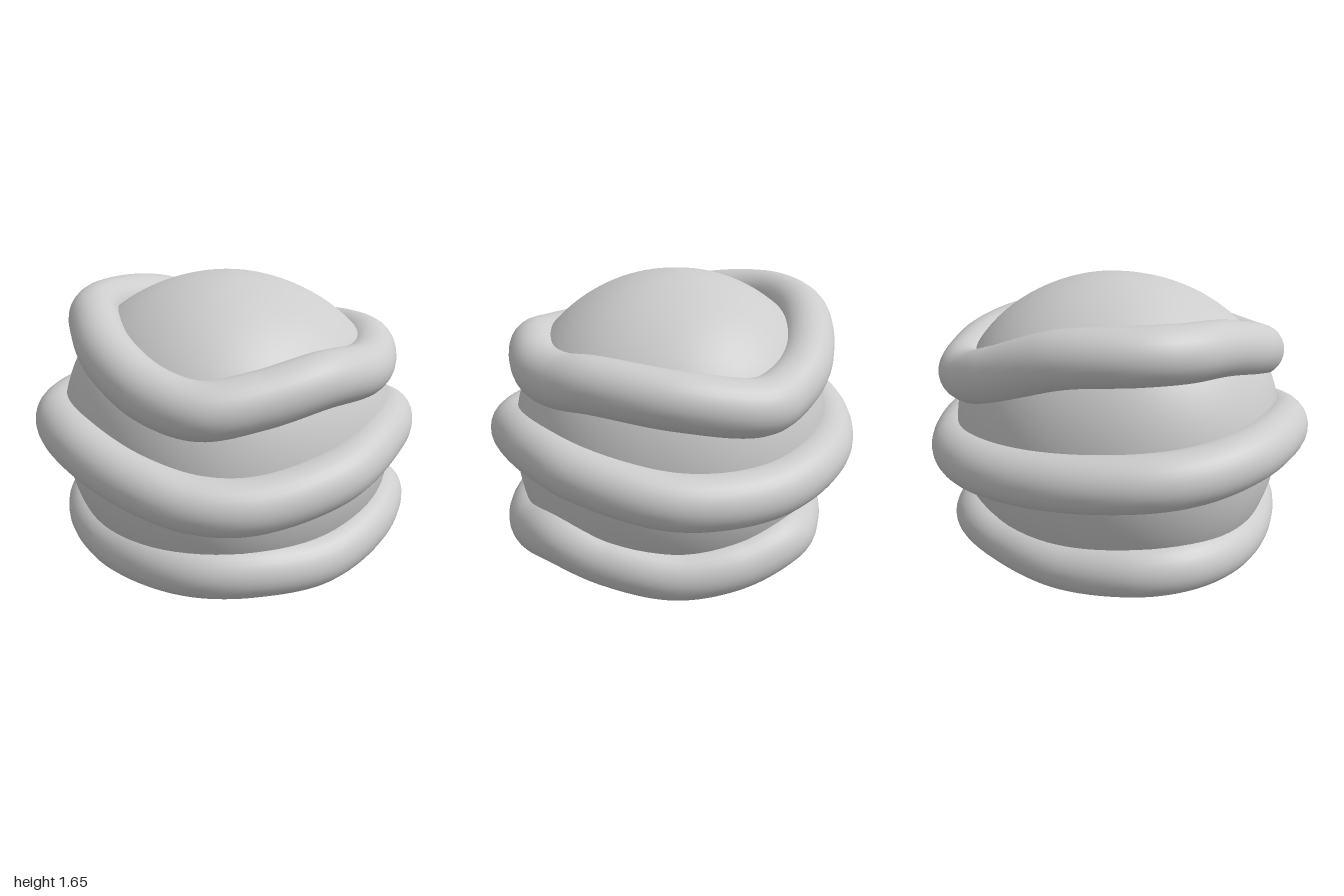
import * as THREE from 'three';

// Ring centre lines: [degrees from +x towards +z, distance from the axis, height]
const TOP = [
  [0, 0.75, 1.23], [30, 0.73, 1.265], [45, 0.725, 1.245], [62, 0.71, 1.24], [90, 0.69, 1.27],
  [117, 0.71, 1.225], [137, 0.765, 1.20], [155, 0.74, 1.24], [180, 0.687, 1.33],
  [205, 0.665, 1.40], [225, 0.695, 1.425], [242, 0.70, 1.43], [270, 0.687, 1.40], [300, 0.725, 1.27],
  [318, 0.755, 1.195], [332, 0.785, 1.175],
];
const MIDDLE = [
  [0, 0.862, 0.80], [30, 0.85, 0.88], [45, 0.832, 0.91], [60, 0.812, 0.905], [90, 0.82, 0.84],
  [120, 0.857, 0.79], [137, 0.877, 0.805], [155, 0.872, 0.86], [180, 0.865, 0.93], [205, 0.872, 0.935],
  [225, 0.872, 0.915], [242, 0.855, 0.90], [270, 0.824, 0.87], [300, 0.842, 0.835], [330, 0.85, 0.785],
];
const BOTTOM = [
  [0, 0.737, 0.36], [24, 0.765, 0.42], [42, 0.812, 0.487], [61, 0.785, 0.435], [90, 0.742, 0.375],
  [118, 0.745, 0.39], [137, 0.758, 0.395], [155, 0.74, 0.39], [180, 0.718, 0.37], [205, 0.74, 0.38],
  [225, 0.76, 0.395], [242, 0.74, 0.39], [270, 0.69, 0.37], [295, 0.70, 0.39], [315, 0.755, 0.425],
  [337, 0.745, 0.38],
];

// Closed wavy tube wrapped around the ball
function makeRing(name, table, material) {
  const points = table.map(([deg, r, y]) => {
    const a = THREE.MathUtils.degToRad(deg);
    return new THREE.Vector3(r * Math.cos(a), y, r * Math.sin(a));
  });
  const path = new THREE.CatmullRomCurve3(points, true, 'centripetal');
  const ring = new THREE.Mesh(new THREE.TubeGeometry(path, 200, 0.134, 28, true), material);
  ring.name = name;
  return ring;
}

// Squashed ball with full shoulders, swelling at three of its four corners
function makeBall(material) {
  const geometry = new THREE.SphereGeometry(1, 80, 56);
  const p = geometry.attributes.position;
  for (let i = 0; i < p.count; i++) {
    const x = p.getX(i), t = p.getY(i), z = p.getZ(i);
    const swell = x > 0 && z < 0 ? 0 : 0.035;
    const corner = Math.sin(2 * Math.atan2(z, x)) ** 2;
    const full = (1 + 0.1 * t * t * (1 - t * t)) * (1 + swell * corner);
    p.setXYZ(i, x * 0.854 * full, 0.826 + t * 0.826, z * 0.815 * full - 0.03 * t);
  }
  geometry.computeVertexNormals();
  const ball = new THREE.Mesh(geometry, material);
  ball.name = 'ball';
  return ball;
}

export function createModel() {
  const grey = new THREE.MeshStandardMaterial({ color: 0xcccccc });
  grey.name = 'plain grey';
  const model = new THREE.Group();
  model.name = 'ringedBall';
  model.add(
    makeBall(grey),
    makeRing('topRing', TOP, grey),
    makeRing('middleRing', MIDDLE, grey),
    makeRing('bottomRing', BOTTOM, grey),
  );
  return model;
}
